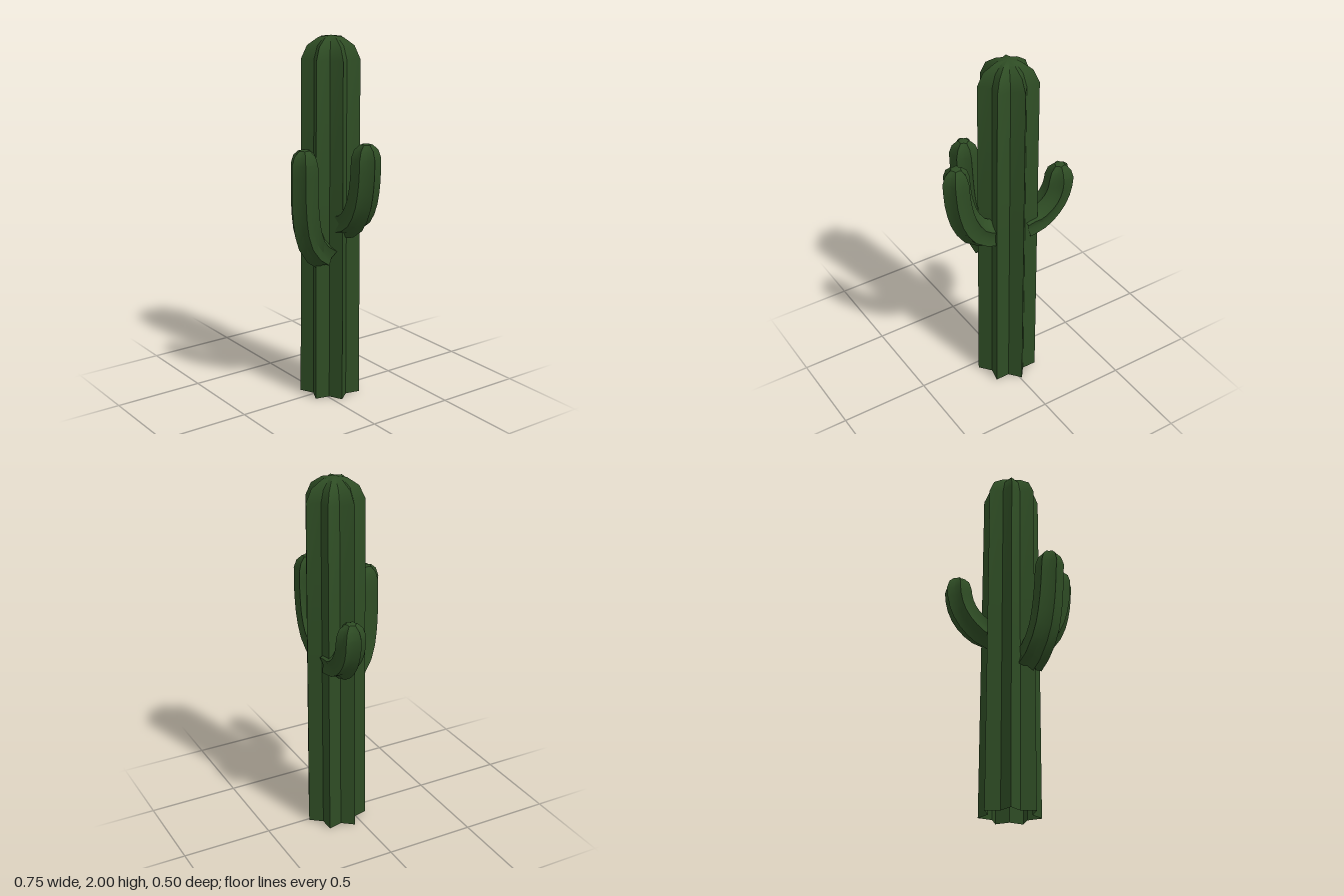
import * as THREE from 'three';
import { toCreasedNormals } from 'three/addons/utils/BufferGeometryUtils.js';

const UP = new THREE.Vector3(0, 1, 0);
// rounded end: height along the axis (0..1) and share of the radius
const DOME = [[0.58, 0.8], [0.92, 0.42], [1, 0]];

// Star-shaped skin through rings of { centre, tangent, radius }; one rib faces "facing"
function ribbedSkin(rings, ribs, valley, facing) {
  const positions = [];
  const index = [];
  const count = ribs * 2;
  const side = new THREE.Vector3().crossVectors(UP, facing).normalize();
  for (const { centre, tangent, radius } of rings) {
    const v = side.clone().addScaledVector(tangent, -side.dot(tangent)).normalize();
    const u = new THREE.Vector3().crossVectors(v, tangent);
    for (let j = 0; j < count; j++) {
      const angle = (j / count) * Math.PI * 2;
      const r = radius * (j % 2 ? valley : 1);
      const p = centre.clone()
        .addScaledVector(u, r * Math.cos(angle))
        .addScaledVector(v, r * Math.sin(angle));
      positions.push(p.x, p.y, p.z);
    }
  }
  for (let i = 0; i < rings.length - 1; i++) {
    for (let j = 0; j < count; j++) {
      const a = i * count + j;
      const b = i * count + (j + 1) % count;
      index.push(a, b, b + count);
      if (rings[i + 1].radius > 0) index.push(a, b + count, a + count);
    }
  }
  const geometry = new THREE.BufferGeometry();
  geometry.setAttribute('position', new THREE.Float32BufferAttribute(positions, 3));
  geometry.setIndex(index);
  return toCreasedNormals(geometry, 0.6);
}

// Adds the rounded end above the last ring
function addDome(rings, height) {
  const { centre, radius } = rings[rings.length - 1];
  for (const [h, r] of DOME) {
    rings.push({ centre: centre.clone().addScaledVector(UP, h * height), tangent: UP, radius: radius * r });
  }
  return rings;
}

export function createModel() {
  const group = new THREE.Group();
  const green = new THREE.MeshStandardMaterial({ color: 0x2e4c24, side: THREE.DoubleSide });
  green.name = 'cactusGreen';

  const add = (name, geometry) => {
    const mesh = new THREE.Mesh(geometry, green);
    mesh.name = name;
    group.add(mesh);
  };

  // Trunk: seven ribs, slightly tapered, open underneath
  const trunk = [[0, 0.169], [0.95, 0.164], [1.88, 0.159]].map(([y, radius]) => (
    { centre: new THREE.Vector3(-0.01, y, -0.082), tangent: UP, radius }));
  add('trunk', ribbedSkin(addDome(trunk, 0.12), 7, 0.69, new THREE.Vector3(0, 0, -1)));

  // Arms: six ribs swept along a bend that turns upright
  const arms = [
    {
      name: 'leftArm', facing: [1, 0, 0.05],
      path: [[0.09, 1.0, -0.097], [0.18, 1.035, -0.095], [0.25, 1.13, -0.09], [0.288, 1.27, -0.085], [0.298, 1.4, -0.082]],
    },
    {
      name: 'rightArm', facing: [-1, 0, 0.25],
      path: [[-0.08, 1.005, -0.127], [-0.17, 1.025, -0.13], [-0.25, 1.09, -0.136], [-0.292, 1.17, -0.14], [-0.303, 1.245, -0.142]],
    },
    {
      name: 'frontArm', facing: [0, 0, 1],
      path: [[0.05, 0.83, 0.005], [0.063, 0.885, 0.08], [0.078, 0.98, 0.13], [0.09, 1.13, 0.157], [0.1, 1.365, 0.167]],
    },
  ];
  for (const { name, facing, path } of arms) {
    const curve = new THREE.CatmullRomCurve3(path.map((p) => new THREE.Vector3(...p)));
    const rings = [];
    const steps = 8;
    for (let i = 0; i <= steps; i++) {
      const t = i / steps;
      rings.push({
        centre: curve.getPointAt(t),
        tangent: i === steps ? UP : curve.getTangentAt(t),
        radius: 0.085 - 0.007 * t,
      });
    }
    add(name, ribbedSkin(addDome(rings, 0.077), 6, 0.72, new THREE.Vector3(...facing)));
  }
  return group;
}
